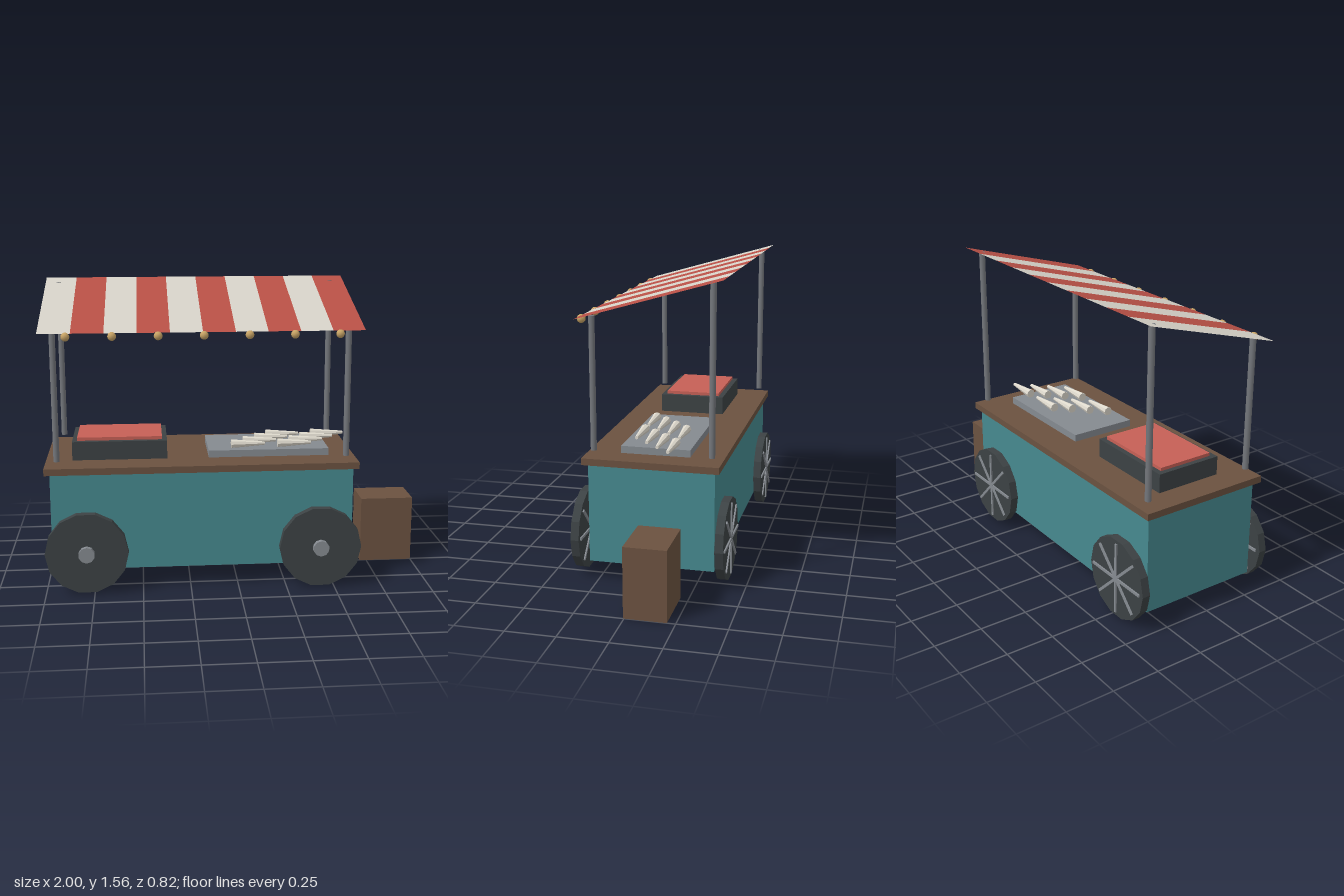
import * as THREE from 'three';

const mat = (name, color, extra = {}) => {
  const m = new THREE.MeshStandardMaterial({ color, ...extra });
  m.name = name;
  return m;
};

export function createModel() {
  const cart = new THREE.Group();
  cart.name = 'foodCart';
  const flat = { flatShading: true };
  const teal = mat('teal paint', 0x46898f);
  const wood = mat('brown wood', 0x6b5240);
  const dark = mat('dark iron', 0x3c4244, flat);
  const metal = mat('light metal', 0x858a90, flat);
  const steel = mat('pole steel', 0x74777c);
  const white = mat('awning white', 0xd6d2c8, { side: THREE.DoubleSide });
  const red = mat('awning red', 0xb85046, { side: THREE.DoubleSide });
  const ember = mat('ember red', 0xc66056);
  const cream = mat('skewer cream', 0xddd8cc, flat);
  const gold = mat('bulb gold', 0xc8a466);

  const add = (name, geometry, material, parent = cart) => {
    const mesh = new THREE.Mesh(geometry, material);
    mesh.name = name;
    parent.add(mesh);
    return mesh;
  };
  // Box given by its limits on each axis
  const box = (name, material, [x0, x1], [y0, y1], [z0, z1]) =>
    add(name, new THREE.BoxGeometry(x1 - x0, y1 - y0, z1 - z0), material)
      .position.set((x0 + x1) / 2, (y0 + y1) / 2, (z0 + z1) / 2);

  // Body, counter, cooking gear and the separate stool
  box('body', teal, [-0.968, 0.605], [0.105, 0.62], [-0.353, 0.29]);
  box('counter', wood, [-0.995, 0.632], [0.62, 0.655], [-0.378, 0.318]);
  box('grill', dark, [-0.858, -0.362], [0.655, 0.753], [-0.207, 0.149]);
  box('embers', ember, [-0.832, -0.388], [0.75, 0.77], [-0.179, 0.121]);
  box('tray', metal, [-0.143, 0.497], [0.655, 0.692], [-0.207, 0.149]);
  box('stool', wood, [0.713, 1], [0, 0.36], [-0.208, 0.005]);

  // Tapered skewers in four staggered rows of two
  const skewer = new THREE.CylinderGeometry(0.009, 0.024, 0.18, 8).rotateZ(-Math.PI / 2);
  for (let row = 0; row < 4; row++) {
    for (let col = 0; col < 2; col++) {
      add('skewer', skewer, cream)
        .position.set(0.07 + 0.07 * row + 0.25 * col, 0.713, 0.092 - 0.071 * row);
    }
  }

  // Poles, taller at the back
  for (const x of [-0.93, 0.567]) {
    for (const [z, top] of [[0.27, 1.36], [-0.33, 1.54]]) {
      add('pole', new THREE.CylinderGeometry(0.016, 0.016, top - 0.683, 10), steel)
        .position.set(x, (top + 0.683) / 2, z);
    }
  }

  // Sloping striped awning
  const awning = new THREE.Group();
  awning.name = 'awning';
  awning.position.set(-0.18, 1.454, -0.025);
  awning.rotation.x = Math.atan2(0.21, 0.73);
  const stripe = new THREE.PlaneGeometry(0.164, 0.76).rotateX(-Math.PI / 2);
  for (let i = 0; i < 10; i++) {
    add('awningStripe', stripe, i % 2 ? red : white, awning).position.x = (i - 4.5) * 0.164;
  }
  cart.add(awning);

  // Bulbs along the front edge
  const bulb = new THREE.SphereGeometry(0.022, 10, 8);
  for (let i = 0; i < 7; i++) {
    add('bulb', bulb, gold).position.set(-0.86 + i * 0.2285, 1.333, 0.34);
  }

  // Wheels: disc, hub on the +z side, eight spokes on the -z side
  const disc = new THREE.CylinderGeometry(0.214, 0.214, 0.043, 14).rotateY(Math.PI / 2).rotateX(Math.PI / 2);
  const hub = new THREE.CylinderGeometry(0.042, 0.042, 0.06, 10).rotateX(Math.PI / 2);
  const bar = new THREE.BoxGeometry(0.38, 0.014, 0.014);
  for (const x of [-0.786, 0.425]) {
    for (const z of [0.359, -0.381]) {
      const wheel = new THREE.Group();
      wheel.name = 'wheel';
      wheel.position.set(x, 0.219, z);
      add('tyre', disc, dark, wheel);
      add('hub', hub, metal, wheel).position.z = 0.018;
      for (let i = 0; i < 4; i++) {
        const spoke = add('spokePair', bar, metal, wheel);
        spoke.position.z = -0.022;
        spoke.rotation.z = (i * Math.PI) / 4;
      }
      cart.add(wheel);
    }
  }
  return cart;
}
